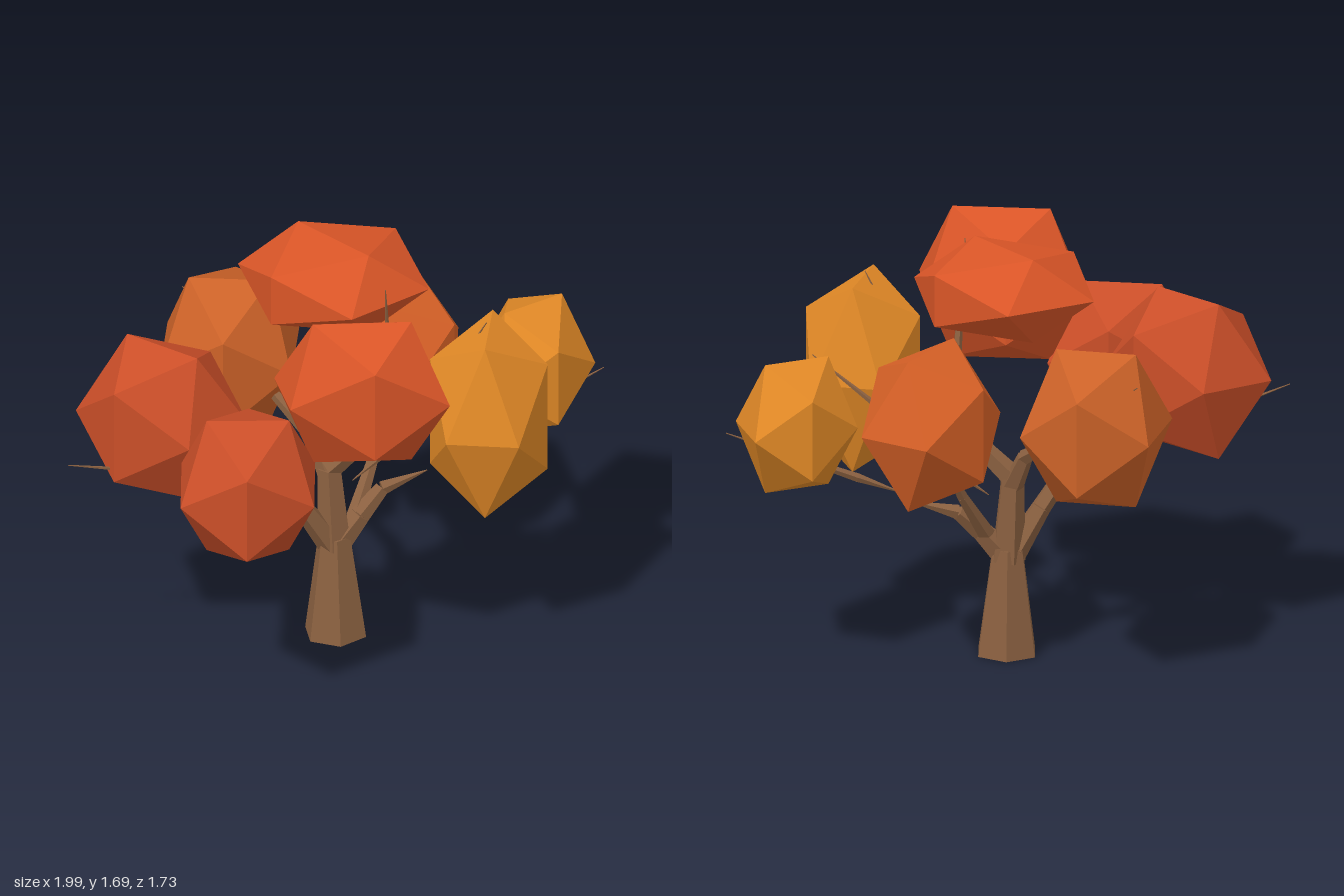
import * as THREE from 'three';

const material = (color) => new THREE.MeshStandardMaterial({ color, flatShading: true });
const bark = material(0x8a6040);

// Foliage: name, colour, centre, stretch along x/y/z, turn about y in degrees
const clumps = [
  ['leftOuterFoliage', 0xe08826, [0.6, 1.07, -0.01], [0.27, 0.44, 0.307], 90],
  ['leftBackFoliage', 0xe08826, [0.72, 1.0, -0.565], [0.241, 0.306, 0.295], 35],
  ['backFoliage', 0xd66026, [0.19, 1.03, -0.53], [0.289, 0.358, 0.35], 72.5],
  ['rightBackFoliage', 0xcc6228, [-0.457, 1.05, -0.467], [0.302, 0.365, 0.367], 1],
  ['crownFoliage', 0xd95527, [-0.03, 1.515, -0.25], [0.386, 0.198, 0.352], -42.5],
  ['frontUpperFoliage', 0xd95527, [0.14, 1.345, 0.355], [0.37, 0.36, 0.245], 13],
  ['frontFoliage', 0xca4e28, [-0.285, 1.027, 0.57], [0.305, 0.337, 0.346], 5.5],
  ['rightFoliage', 0xca4e28, [-0.657, 1.095, 0.18], [0.34, 0.37, 0.276], -36],
];

// Branches: name, then points as [x, y, z, radius]
const branches = [
  ['rightBranch', [[-0.03, 0.4, -0.13, 0.055], [-0.13, 0.58, -0.07, 0.04], [-0.22, 0.73, 0, 0.035],
    [-0.4, 0.79, 0.09, 0.022], [-1, 1.0, 0.43, 0.002]]],
  ['frontTwig', [[-0.2, 0.7, -0.01, 0.03], [-0.28, 0.85, 0.3, 0.018], [-0.29, 1.0, 0.55, 0.002]]],
  ['leftBranch', [[0, 0.4, -0.14, 0.055], [0.08, 0.5, -0.18, 0.042], [0.16, 0.59, -0.24, 0.03],
    [0.33, 0.64, -0.31, 0.002]]],
  ['leftBackTwig', [[0.36, 0.68, -0.33, 0.002], [0.52, 0.75, -0.4, 0.018], [0.99, 0.96, -0.62, 0.002]]],
  ['mainBranch', [[-0.015, 0.38, -0.14, 0.07], [-0.035, 0.72, -0.15, 0.048], [0.07, 0.82, -0.16, 0.04],
    [0.17, 0.95, -0.13, 0.032], [0.21, 1.1, -0.08, 0.022], [0.2, 1.62, 0.03, 0.002]]],
  ['leftOuterTwig', [[0.18, 0.95, -0.12, 0.025], [0.38, 1.1, -0.05, 0.015], [0.59, 1.47, -0.02, 0.002]]],
  ['leftMiddleTwig', [[0.05, 0.65, -0.18, 0.002], [0.25, 0.81, -0.26, 0.02], [0.4, 0.95, -0.27, 0.016],
    [0.73, 1.2, -0.29, 0.002]]],
  ['rightBackBranch', [[-0.035, 0.68, -0.15, 0.045], [-0.1, 0.82, -0.2, 0.032], [-0.3, 0.97, -0.34, 0.02],
    [-0.65, 1.26, -0.57, 0.002]]],
  ['backBranch', [[0.06, 0.49, -0.18, 0.035], [0.12, 0.68, -0.32, 0.022], [0.2, 1.0, -0.53, 0.002]]],
];

// One tapered piece of wood between two points
function limb(a, b, sides) {
  const from = new THREE.Vector3(...a.slice(0, 3));
  const to = new THREE.Vector3(...b.slice(0, 3));
  const direction = to.clone().sub(from);
  const geometry = new THREE.CylinderGeometry(b[3], a[3], direction.length(), sides);
  const mesh = new THREE.Mesh(geometry, bark);
  mesh.position.copy(from).add(to).multiplyScalar(0.5);
  mesh.quaternion.setFromUnitVectors(new THREE.Vector3(0, 1, 0), direction.normalize());
  return mesh;
}

export function createModel() {
  const tree = new THREE.Group();
  tree.name = 'tree';

  // Trunk, flaring towards the ground
  const trunk = limb([-0.01, 0, -0.135, 0.127], [-0.015, 0.43, -0.14, 0.066], 6);
  trunk.rotateY(0.25);
  trunk.name = 'trunk';
  tree.add(trunk);

  // Branches and twigs
  for (const [name, points] of branches) {
    const branch = new THREE.Group();
    branch.name = name;
    for (let i = 1; i < points.length; i++) branch.add(limb(points[i - 1], points[i], 5));
    tree.add(branch);
  }

  // Foliage clumps
  for (const [name, color, centre, stretch, turn] of clumps) {
    const geometry = new THREE.IcosahedronGeometry(1, 0);
    geometry.rotateY(THREE.MathUtils.degToRad(turn)).scale(...stretch);
    const clump = new THREE.Mesh(geometry, material(color));
    clump.name = name;
    clump.position.set(...centre);
    tree.add(clump);
  }
  return tree;
}
